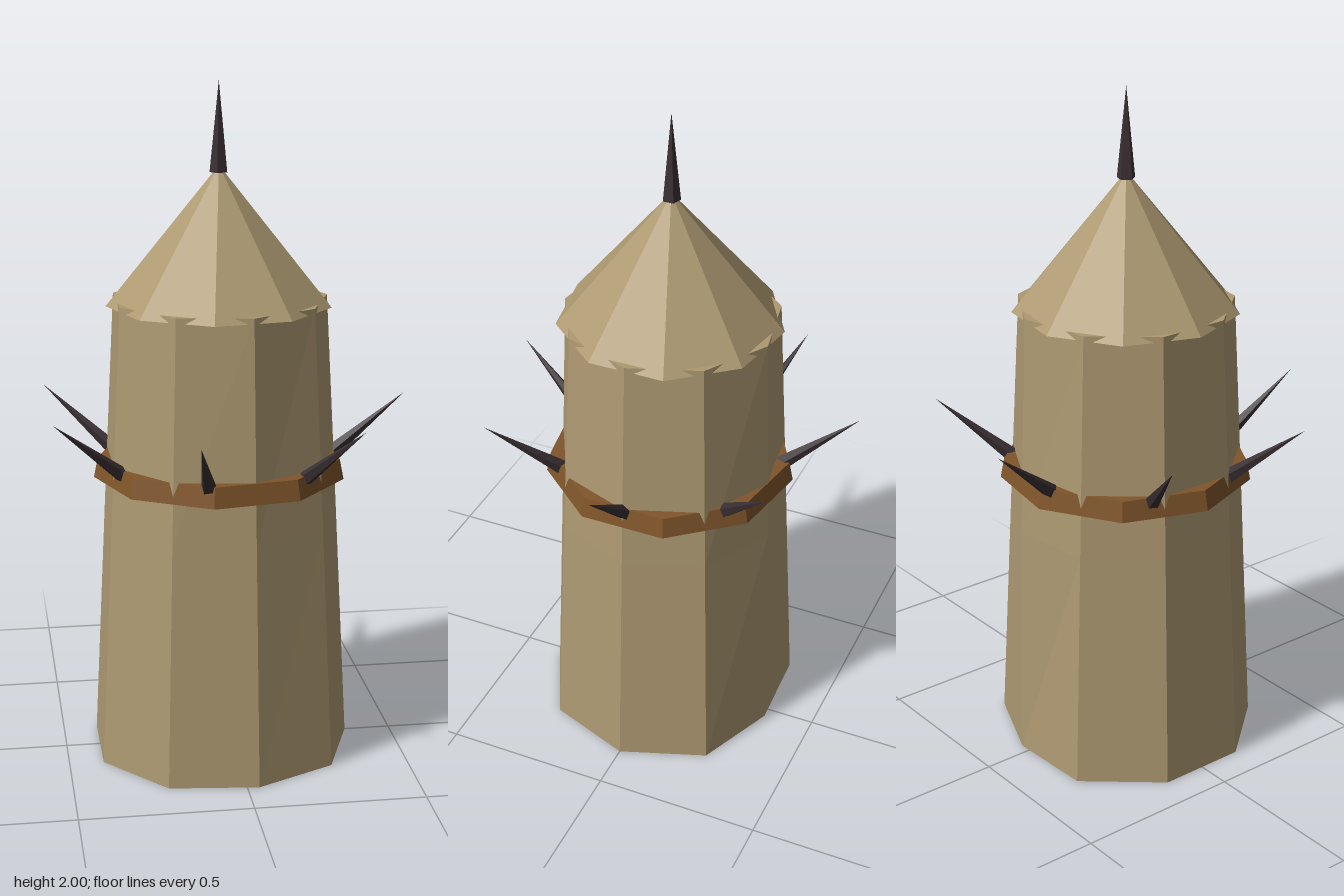
import * as THREE from 'three';

const SIDES = 9;
const AXIS_X = -0.03;

export function createModel() {
  const mat = (name, color) => new THREE.MeshStandardMaterial({ name, color, flatShading: true });
  const hide = mat('tan', 0xae9a72);
  const band = mat('brown', 0x80552a);
  const iron = mat('darkIron', 0x3a3034);

  const model = new THREE.Group();
  model.name = 'spikedTower';
  const tower = new THREE.Group();
  tower.name = 'tower';
  tower.position.x = AXIS_X;
  model.add(tower);

  const add = (name, geometry, material, y = 0) => {
    const mesh = new THREE.Mesh(geometry, material);
    mesh.name = name;
    mesh.position.y = y;
    tower.add(mesh);
    return mesh;
  };

  // Tapering nine-sided body, slightly uneven at the front and back corners
  const rings = [
    { y: 0, r: 0.392, front: 0.375, back: 0.358 },
    { y: 0.72, r: 0.354, front: 0.342, back: 0.346 },
    { y: 1.377, r: 0.318, front: 0.315, back: 0.323 },
  ];
  const bodyGeo = new THREE.CylinderGeometry(1, 1, 2, SIDES, 2, false, Math.PI / 2);
  const pos = bodyGeo.attributes.position;
  for (let i = 0; i < pos.count; i++) {
    const ring = rings[Math.round(pos.getY(i)) + 1];
    const z = pos.getZ(i);
    const r = z > 0.95 ? ring.front : z < -0.95 ? ring.back : ring.r;
    pos.setXYZ(i, pos.getX(i) * r, ring.y, z * r);
  }
  bodyGeo.computeVertexNormals();
  add('body', bodyGeo, hide);

  // Conical roof, turned half a side so the body corners poke out under it
  const roofHeight = 0.4;
  add('roof', new THREE.ConeGeometry(0.33, roofHeight, SIDES, 1, false, -Math.PI / 2), hide, 1.36 + roofHeight / 2);

  // Brown band around the body
  add('band', new THREE.CylinderGeometry(0.36, 0.372, 0.06, SIDES, 1, false, -Math.PI / 2), band, 0.88);

  // Spike on the roof tip
  add('roofSpike', new THREE.ConeGeometry(0.027, 0.26, 5, 1, false, -Math.PI / 2), iron, 1.87);

  // Seven spikes leaning outwards from the band
  const out = 0.235, up = 0.19;
  const length = Math.hypot(out, up);
  const spikeGeo = new THREE.ConeGeometry(0.024, length, 5, 1, false, -Math.PI / 2);
  spikeGeo.translate(0, length / 2, 0);
  spikeGeo.rotateZ(-Math.atan2(out, up));
  spikeGeo.translate(0.322, 0, 0);
  for (let i = 0; i < 7; i++) {
    add('bandSpike' + (i + 1), spikeGeo, iron, 0.885).rotation.y = (i * Math.PI * 2) / 7;
  }

  return model;
}
